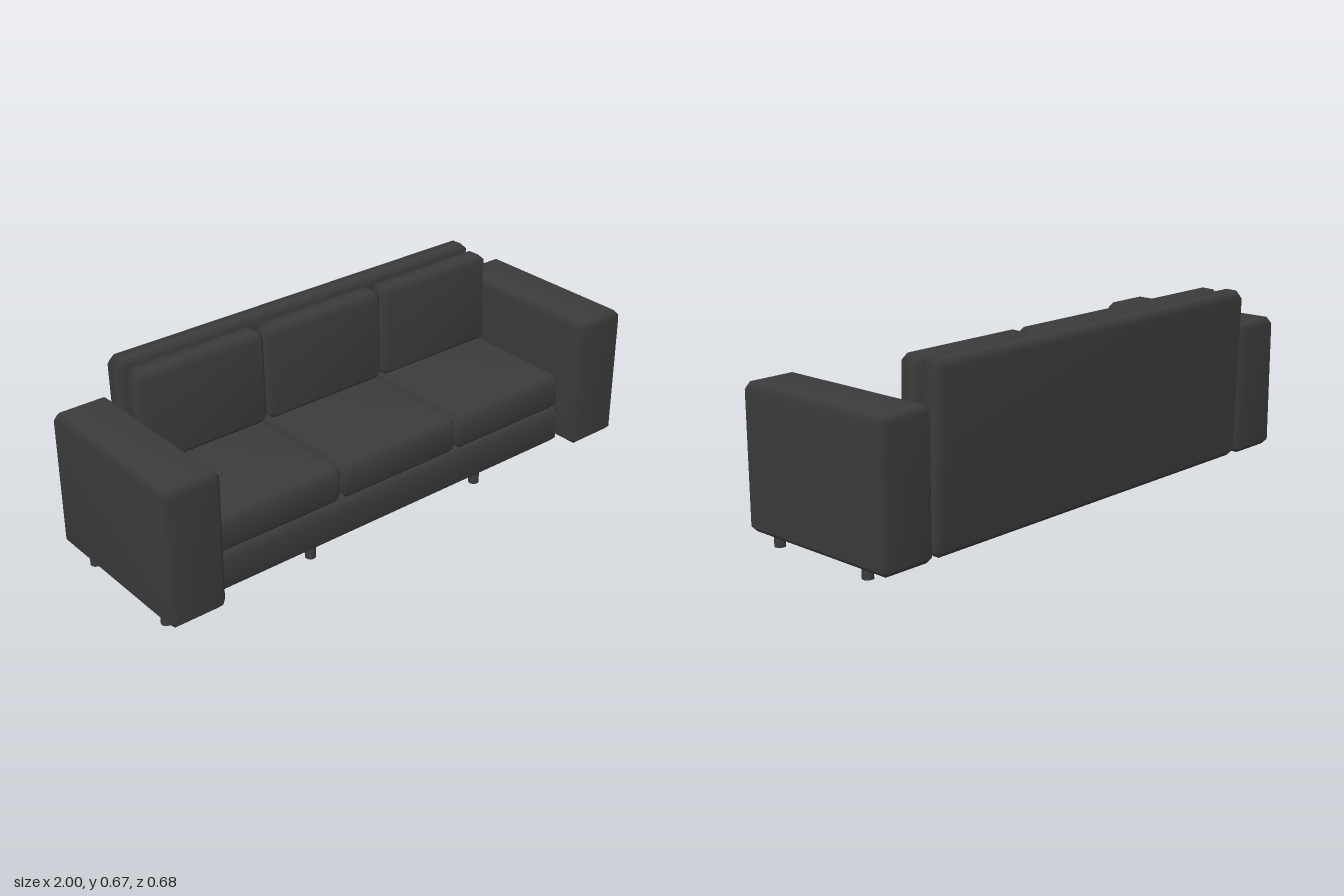
import * as THREE from 'three';
import { ConvexGeometry } from 'three/addons/geometries/ConvexGeometry.js';
import { mergeVertices } from 'three/addons/utils/BufferGeometryUtils.js';

// Box with 45 degree chamfers on every edge and softly blended normals
function chamferBox(w, h, d, c) {
  const points = [];
  for (const sx of [-1, 1]) for (const sy of [-1, 1]) for (const sz of [-1, 1]) {
    for (let axis = 0; axis < 3; axis++) {
      const inset = [c, c, c];
      inset[axis] = 0;
      points.push(new THREE.Vector3(
        sx * (w / 2 - inset[0]), sy * (h / 2 - inset[1]), sz * (d / 2 - inset[2])));
    }
  }
  let geometry = new ConvexGeometry(points);
  geometry.deleteAttribute('normal');
  geometry = mergeVertices(geometry, 1e-5);
  geometry.computeVertexNormals();
  return geometry;
}

export function createModel() {
  const sofa = new THREE.Group();
  sofa.name = 'sofa';
  const fabric = new THREE.MeshStandardMaterial({ color: 0x3c3c3c });

  function add(name, geometry, x, y, z, tilt = 0) {
    const mesh = new THREE.Mesh(geometry, fabric);
    mesh.name = name;
    mesh.position.set(x, y, z);
    mesh.rotation.x = tilt;
    sofa.add(mesh);
  }

  // Base and leaning backrest
  add('base', chamferBox(1.56, 0.147, 0.54, 0.022), 0, 0.112, 0);
  add('backrest', chamferBox(1.56, 0.632, 0.096, 0.026), 0, 0.354, -0.28, -0.032);

  // Armrests
  const arm = chamferBox(0.212, 0.498, 0.66, 0.022);
  add('leftArmrest', arm, 0.894, 0.287, 0.009);
  add('rightArmrest', arm, -0.894, 0.287, 0.009);

  // Three seat cushions and three leaning back cushions
  const seat = chamferBox(0.513, 0.135, 0.51, 0.024);
  const back = chamferBox(0.515, 0.346, 0.101, 0.026);
  for (const i of [-1, 0, 1]) {
    const x = i * 0.517 - 0.004;
    add('seatCushion', seat, x, 0.253, 0.018);
    add('backCushion', back, x, 0.489, -0.181, -0.03);
  }

  // Two rows of short round legs
  const leg = new THREE.CylinderGeometry(0.019, 0.019, 0.05, 16);
  for (const x of [-0.957, -0.38, 0.375, 0.952]) {
    for (const z of [0.234, -0.189]) add('leg', leg, x, 0.025, z);
  }
  return sofa;
}
